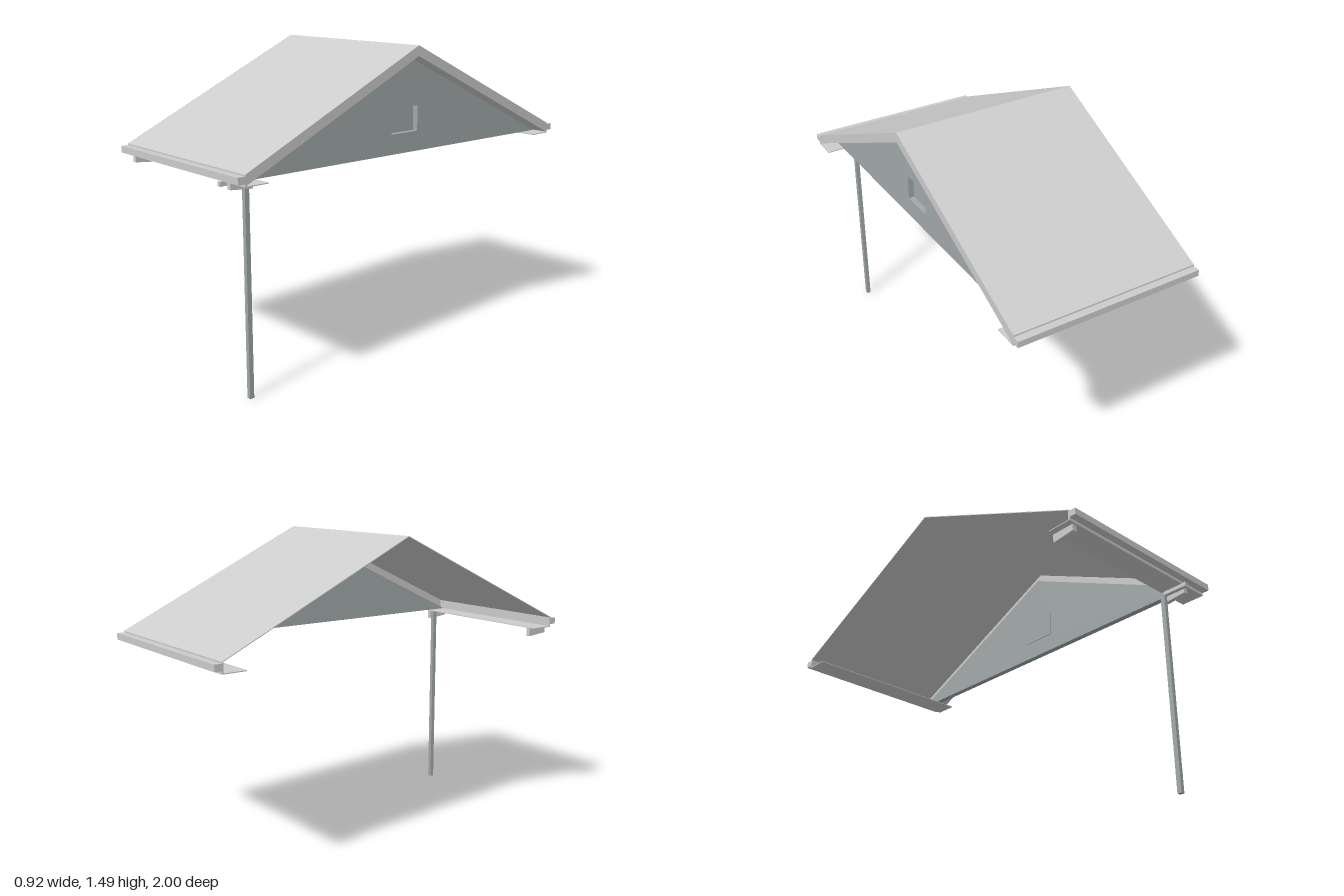
import * as THREE from 'three';

const material = (name, color, side = THREE.FrontSide) => {
  const m = new THREE.MeshStandardMaterial({ color, side });
  m.name = name;
  return m;
};

// Key dimensions
const HALF = 0.46;      // half length along the ridge
const EAVE = 0.965;     // roof edge in z
const RIDGE_Y = 1.485;
const EAVE_Y = 1.033;
const RAKE = 0.048;     // depth of the gable-end edge
const WALL_X = 0.375;   // outer face of the gable wall

export function createModel() {
  const model = new THREE.Group();
  model.name = 'gableRoof';
  const trim = material('light grey', 0xcccccc);
  const siding = material('blue grey', 0xa2a9aa);

  const add = (name, geometry, mat) => {
    const mesh = new THREE.Mesh(geometry, mat);
    mesh.name = name;
    model.add(mesh);
    return mesh;
  };

  // Box given by its limits on each axis
  const box = (name, mat, x0, x1, y0, y1, z0, z1) => {
    const g = new THREE.BoxGeometry(x1 - x0, y1 - y0, z1 - z0);
    g.translate((x0 + x1) / 2, (y0 + y1) / 2, (z0 + z1) / 2);
    return add(name, g, mat);
  };

  // Outline drawn in (-z, y), extruded along x
  const extrudeX = (name, mat, points, x0, x1, hole) => {
    const shape = new THREE.Shape(points.map(([a, b]) => new THREE.Vector2(a, b)));
    if (hole) shape.holes.push(new THREE.Path(hole.map(([a, b]) => new THREE.Vector2(a, b))));
    const g = new THREE.ExtrudeGeometry(shape, { depth: x1 - x0, bevelEnabled: false });
    g.rotateY(Math.PI / 2);
    g.translate(x0, 0, 0);
    return add(name, g, mat);
  };

  // Two-pitch band of a given depth
  const chevron = (depth) => [
    [-EAVE, EAVE_Y - depth], [0, RIDGE_Y - depth], [EAVE, EAVE_Y - depth],
    [EAVE, EAVE_Y], [0, RIDGE_Y], [-EAVE, EAVE_Y],
  ];

  // Thin roof sheet and the thicker overhang at the gable end
  extrudeX('roofSheet', trim, chevron(0.004), -HALF, WALL_X - 0.01);
  extrudeX('gableOverhang', trim, chevron(RAKE), WALL_X - 0.01, HALF);

  // Gable wall with a recessed vent opening
  const base = EAVE_Y - RAKE;
  extrudeX('gableWall', siding,
    [[-EAVE, base], [EAVE, base], [0, RIDGE_Y - RAKE]],
    WALL_X - 0.03, WALL_X,
    [[-0.083, 1.08], [-0.083, 1.2], [0.083, 1.2], [0.083, 1.08]]);
  box('ventPanel', siding, WALL_X - 0.034, WALL_X - 0.028, 1.075, 1.205, -0.088, 0.088);

  // Gutter, fascia and soffit along both eaves
  for (const s of [1, -1]) {
    const strip = (name, y0, y1, a, b) =>
      box(name, trim, -HALF, HALF, y0, y1, Math.min(a * s, b * s), Math.max(a * s, b * s));
    strip('gutter', 0.995, 1.026, EAVE, 1);
    strip('fascia', 0.983, 1.029, EAVE - 0.006, EAVE + 0.001);
    strip('soffit', 0.981, 0.985, 0.85, EAVE);
  }

  // Brackets under the front eave, with a slightly sloping underside
  for (const x of [-0.42, 0.335]) {
    extrudeX('eaveBracket', trim,
      [[-0.957, 0.95], [-0.845, 0.94], [-0.845, 0.982], [-0.957, 0.982]],
      x - 0.011, x + 0.011);
  }

  // Slim post with its short horizontal arm
  box('post', siding, 0.295, 0.315, 0, 0.981, 0.843, 0.865);
  box('postArm', trim, 0.295, 0.315, 0.963, 0.983, 0.865, 0.985);

  return model;
}
